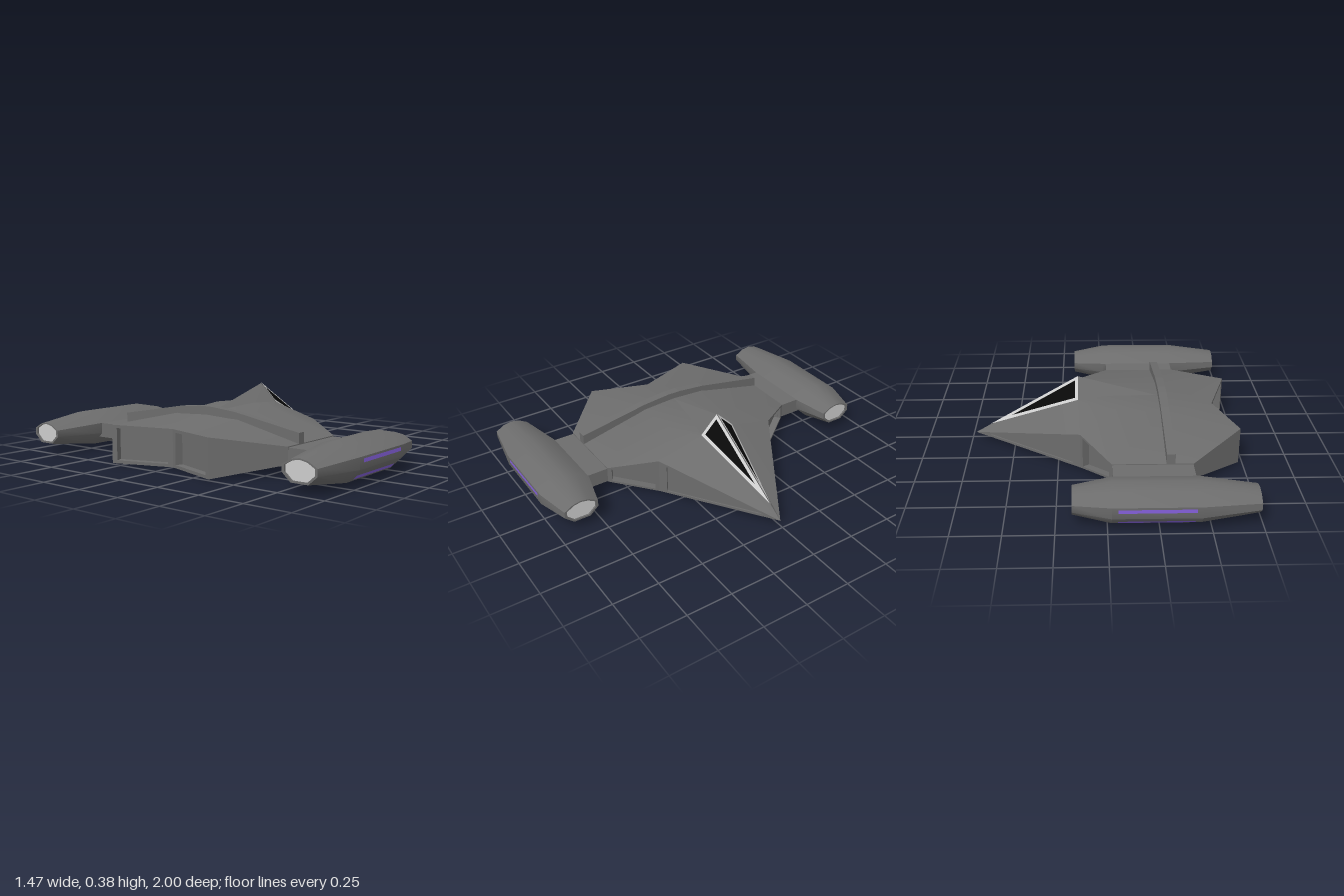
import * as THREE from 'three';
import { toCreasedNormals } from 'three/addons/utils/BufferGeometryUtils.js';

const V = (x, y, z) => new THREE.Vector3(x, y, z);
const mat = (name, color) => Object.assign(new THREE.MeshStandardMaterial({ color }), { name });

function normalOf(p) {
  return V(0, 0, 0).crossVectors(p[1].clone().sub(p[0]), p[2].clone().sub(p[0])).normalize();
}

// Order a polygon's corners so that it faces away from an inner point
function outward(poly, inner) {
  const mid = centre(poly).sub(inner);
  return normalOf(poly).dot(mid) < 0 ? poly.slice().reverse() : poly;
}

function centre(poly) {
  return poly.reduce((s, p) => s.add(p), V(0, 0, 0)).divideScalar(poly.length);
}

// Ring of quads between two matching outlines
function ring(a, b) {
  return a.map((p, i) => {
    const j = (i + 1) % a.length;
    return [p, a[j], b[j], b[i]];
  });
}

// Wall with a sunken panel: rim, reveal and inner face
function sunken(poly, scale, depth) {
  const c = centre(poly), n = normalOf(poly);
  const rim = poly.map(p => p.clone().sub(c).multiplyScalar(scale).add(c));
  const panel = rim.map(p => p.clone().addScaledVector(n, -depth));
  return { frame: [...ring(poly, rim), ...ring(rim, panel)], panel };
}

function meshOf(name, polys, material, crease = 0.4) {
  const pos = [];
  for (const p of polys)
    for (let i = 1; i < p.length - 1; i++)
      for (const v of [p[0], p[i], p[i + 1]]) pos.push(v.x, v.y, v.z);
  const g = new THREE.BufferGeometry();
  g.setAttribute('position', new THREE.Float32BufferAttribute(pos, 3));
  const m = new THREE.Mesh(toCreasedNormals(g, crease), material);
  m.name = name;
  return m;
}

export function createModel() {
  const model = new THREE.Group();
  model.name = 'spacecraft';
  const grey = mat('hull grey', 0x6c6c6c);
  const light = mat('light trim', 0xcccccc);
  const black = mat('black glass', 0x080808);
  const purple = mat('purple glow', 0x8560dc);

  const core = V(-0.1, 0.1, 0);
  const hull = [];
  for (const s of [1, -1]) {
    const P = (x, y, z) => V(x, y, z * s);
    const add = (...poly) => hull.push(outward(poly, core));
    const addSunken = (scale, depth, ...poly) => {
      const w = sunken(outward(poly, core), scale, depth);
      hull.push(...w.frame, w.panel);
    };
    // Upper outline, lower outline, and crown points of the hull
    const nose = P(0.73, 0.03, 0);
    const a = P(0.13, 0.2, 0.37), a2 = P(0.13, 0, 0.37);
    const b = P(-0.03, 0.15, 0.6), b2 = P(-0.03, 0.06, 0.6);
    const c = P(-0.45, 0.15, 0.6), c2 = P(-0.45, 0.06, 0.6);
    const d = P(-0.73, 0.205, 0.33), d2 = P(-0.73, 0, 0.33);
    const e = P(-0.62, 0.2, 0), e2 = P(-0.62, 0, 0), m = P(0.13, 0, 0);
    const t = P(0.14, 0.375, 0), f = P(0.14, 0.275, 0.1), g = P(-0.02, 0.28, 0.06);
    const h = P(-0.02, 0.268, 0.2), k = P(-0.33, 0.24, 0.2), r = P(-0.3, 0.255, 0);

    // Canopy and upper skin
    add(nose, t, f); add(nose, f, a); add(t, f, g); add(t, g, r);
    add(f, g, h); add(f, h, a); add(a, h, b); add(h, b, k); add(k, b, c);
    add(g, h, k); add(g, k, r); add(k, c, d); add(k, d, e); add(k, e, r);
    // Side walls
    addSunken(0.8, 0.008, nose, a, a2);
    addSunken(0.84, 0.04, a, b, b2, a2);
    add(b, c, c2, b2);
    add(c, d, d2, c2);
    addSunken(0.84, 0.04, d, e, e2, d2);
    // Underside
    add(nose, a2, m); add(a2, b2, c2, d2); add(a2, d2, e2, m);

    // Windscreen: light frame around black glass
    const tip = t.clone().lerp(nose, 0.85);
    const outer = outward([t, f, tip], core);
    const n = normalOf(outer);
    const mix = (u, v, w) => V(0, 0, 0).addScaledVector(outer[0], u)
      .addScaledVector(outer[1], v).addScaledVector(outer[2], w);
    const weights = [[0.85, 0.12, 0.03], [0.12, 0.85, 0.03], [0.1225, 0.1225, 0.755]];
    // Weights follow the corner order t, f, tip
    const key = outer.map(p => [t, f, tip].indexOf(p));
    const inner = key.map(i => mix(...key.map(j => weights[i][j])));
    const lift = (q, by) => q.map(p => p.clone().addScaledVector(n, by));
    model.add(meshOf('windscreenFrame', ring(lift(outer, 0.004), lift(inner, 0.004)), light));
    model.add(meshOf('windscreenGlass', [lift(inner, 0.003)], black));

    // Pylon
    const pylon = new THREE.Mesh(new THREE.BoxGeometry(0.415, 0.082, 0.18), grey);
    pylon.position.set(-0.24, 0.104, s * 0.66);
    pylon.name = 'pylon';
    model.add(pylon);

    model.add(makeNacelle(s, grey, light, purple));
  }
  model.add(meshOf('hull', hull, grey));

  // Raised strap across the back
  const strap = new THREE.Shape([
    [-0.6, 0.135], [-0.2, 0.2], [0.2, 0.2], [0.6, 0.135],
    [0.6, 0.205], [0.2, 0.275], [0.04, 0.29], [-0.04, 0.29], [-0.2, 0.275], [-0.6, 0.205],
  ].map(p => new THREE.Vector2(...p)));
  const strapGeo = new THREE.ExtrudeGeometry(strap, { depth: 0.045, bevelEnabled: false });
  strapGeo.rotateY(Math.PI / 2).translate(-0.355, 0, 0);
  const strapMesh = new THREE.Mesh(strapGeo, grey);
  strapMesh.name = 'backStrap';
  model.add(strapMesh);
  return model;
}

// Engine pod: faceted section lofted along x, tapered at both ends
function makeNacelle(s, grey, light, purple) {
  const group = new THREE.Group();
  group.name = 'nacelle';
  const cy = 0.11, cz = 0.858;
  const section = [[0, 0.095], [0.07, 0.08], [0.142, 0.035], [0.142, -0.025], [0.07, -0.095],
    [-0.07, -0.095], [-0.142, -0.025], [-0.142, 0.035], [-0.07, 0.08]];
  const stations = [[-0.735, 0.61, 0.67], [-0.45, 1, 1], [-0.02, 1, 1], [0.17, 0.61, 0.67]];
  const loops = stations.map(([x, ky, kz]) =>
    section.map(([z, y]) => V(x, cy + y * ky, s * (cz + z * kz))));
  const mid = V(-0.28, cy, s * cz);
  const shell = [];
  for (let i = 0; i < 3; i++)
    for (const q of ring(loops[i], loops[i + 1])) shell.push(outward(q, mid));

  // Light end caps set inside a thin rim
  const caps = [loops[0], loops[3]].map(l => sunken(outward(l, mid), 0.86, 0.01));
  caps.forEach(c => shell.push(...c.frame));
  group.add(meshOf('nacelleShell', shell, grey, 0.8));
  group.add(meshOf('nacelleCaps', caps.map(c => c.panel), light));

  // Glow strips on the outer side and the lower outer slope
  const strip = (z1, y1, z2, y2) => outward([
    V(-0.42, y1, s * z1), V(-0.05, y1, s * z1), V(-0.05, y2, s * z2), V(-0.42, y2, s * z2)], mid);
  group.add(meshOf('glowStrips', [
    strip(1.002, 0.135, 1.002, 0.116),
    strip(0.969, 0.05, 0.948, 0.029),
  ], purple));
  return group;
}
